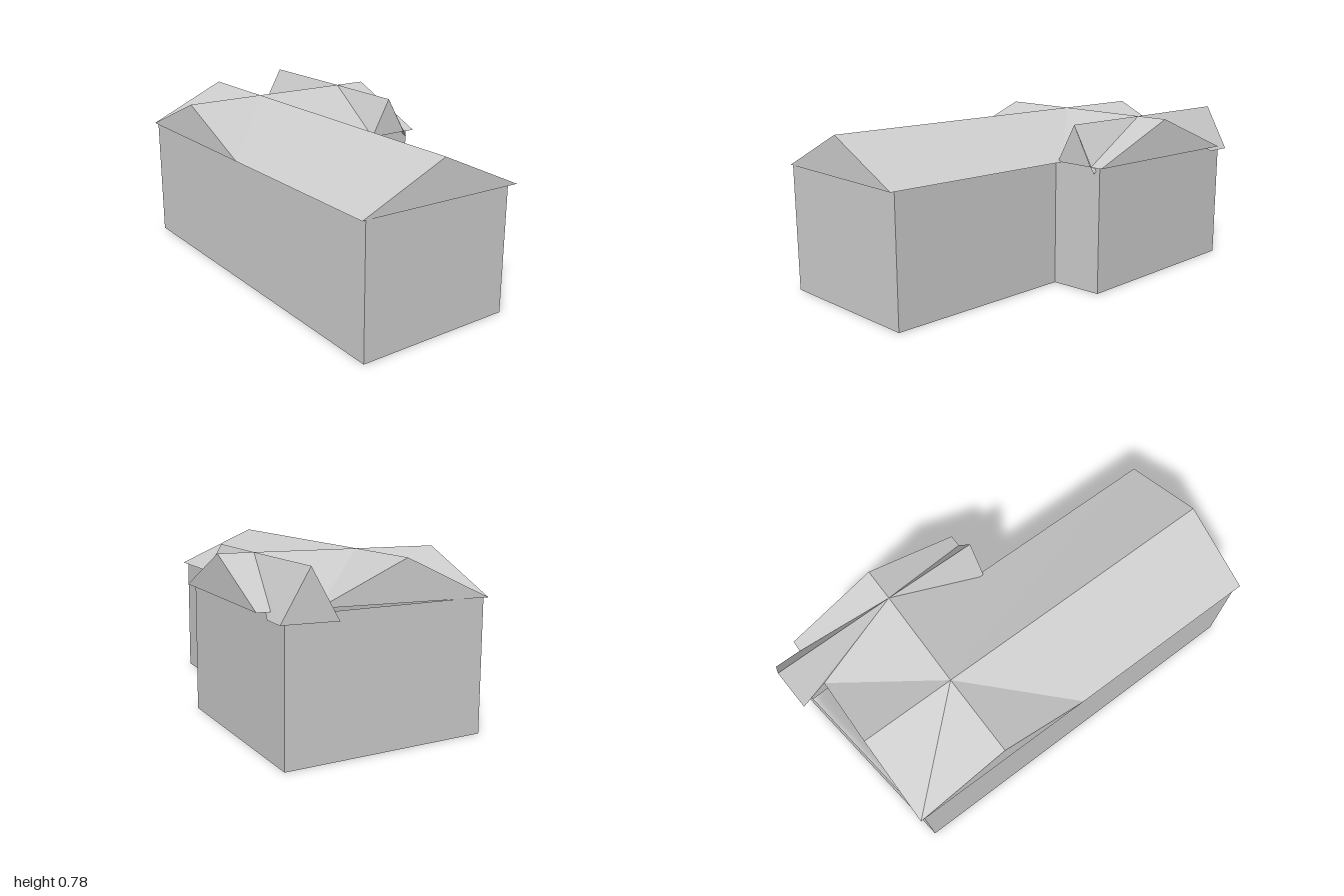
import * as THREE from 'three';

const EAVE = 0.6, RIDGE = 0.783, LOW = 0.57;

const material = new THREE.MeshStandardMaterial({
  color: 0xcccccc, flatShading: true, side: THREE.DoubleSide,
});

// One mesh from flat polygons, each fanned from its first corner
function panels(name, polygons) {
  const pos = [];
  for (const p of polygons) {
    for (let i = 1; i < p.length - 1; i++) pos.push(...p[0], ...p[i], ...p[i + 1]);
  }
  const geo = new THREE.BufferGeometry();
  geo.setAttribute('position', new THREE.Float32BufferAttribute(pos, 3));
  geo.computeVertexNormals();
  const mesh = new THREE.Mesh(geo, material);
  mesh.name = name;
  return mesh;
}

const eave = (x, z) => [x, EAVE, z];
const ridge = (x, z) => [x, RIDGE, z];
const low = (x, z) => [x, LOW, z];

export function createModel() {
  const house = new THREE.Group();
  house.name = 'house';

  // Outer walls around the L-shaped plan, open underneath
  const plan = [[0.914, 0.595], [0.967, -0.172], [0.035, -0.244],
    [0.04, -0.502], [-0.953, -0.557], [-0.922, 0.413]];
  house.add(panels('walls', plan.map(([x, z], i) => {
    const [x2, z2] = plan[(i + 1) % plan.length];
    return [[x, 0, z], [x2, 0, z2], [x2, EAVE, z2], [x, EAVE, z]];
  })));

  // Main roof: crossing, ridge ends and eave corners
  const cross = ridge(-0.45, 0.075);
  const mainL = ridge(-0.903, 0.03), mainR = ridge(0.957, 0.215);
  const frontL = eave(-0.942, 0.422), frontR = eave(0.914, 0.613);
  const backL = eave(-0.862, -0.36), backR = eave(1.0, -0.188);
  const frontValley = eave(-0.04, 0.515), backValley = eave(0.037, -0.285);
  house.add(panels('mainRoof', [
    [cross, mainL, frontL],
    [cross, frontValley, frontR, mainR],
    [cross, mainR, backR, backValley],
    [cross, backL, mainL],
  ]));

  // Cross roof running from the front gable to the rear wing
  const frontApex = ridge(-0.485, 0.469);
  const wingCross = ridge(-0.4, -0.41);
  house.add(panels('crossRoof', [
    [cross, frontL, frontApex],
    [cross, frontApex, frontValley],
    [cross, wingCross, backL],
    [cross, backValley, wingCross],
  ]));

  // Steep roof of the rear wing
  const wingL = ridge(-0.99, -0.465), wingR = ridge(0.052, -0.362);
  const wingFrontL = low(-1.0, -0.345), wingFrontR = eave(0.042, -0.262);
  const wingBackL = low(-0.978, -0.588), wingBackR = low(0.062, -0.485);
  const rearValleyL = eave(-0.85, -0.56), rearValleyR = eave(0.06, -0.465);
  house.add(panels('wingRoof', [
    [wingCross, wingL, wingFrontL, backL],
    [wingCross, wingFrontR, wingR],
    [wingCross, rearValleyL, low(-0.848, -0.575), wingBackL, wingL],
    [wingCross, wingR, wingBackR, rearValleyR],
  ]));

  // Rear cross roof over the wing
  const rearApex = ridge(-0.385, -0.573);
  const rearL = eave(-0.842, -0.617), rearR = eave(0.067, -0.528);
  house.add(panels('rearCrossRoof', [
    [wingCross, rearApex, rearL, rearValleyL],
    [wingCross, rearValleyR, rearR, rearApex],
  ]));

  // Gable triangles closing the roof ends
  house.add(panels('gables', [
    [frontL, frontValley, frontApex],
    [frontR, backR, mainR],
    [backL, frontL, mainL],
    [rearR, rearL, rearApex],
    [wingFrontR, rearValleyR, wingR],
    [wingBackL, wingFrontL, wingL],
  ]));

  return house;
}
